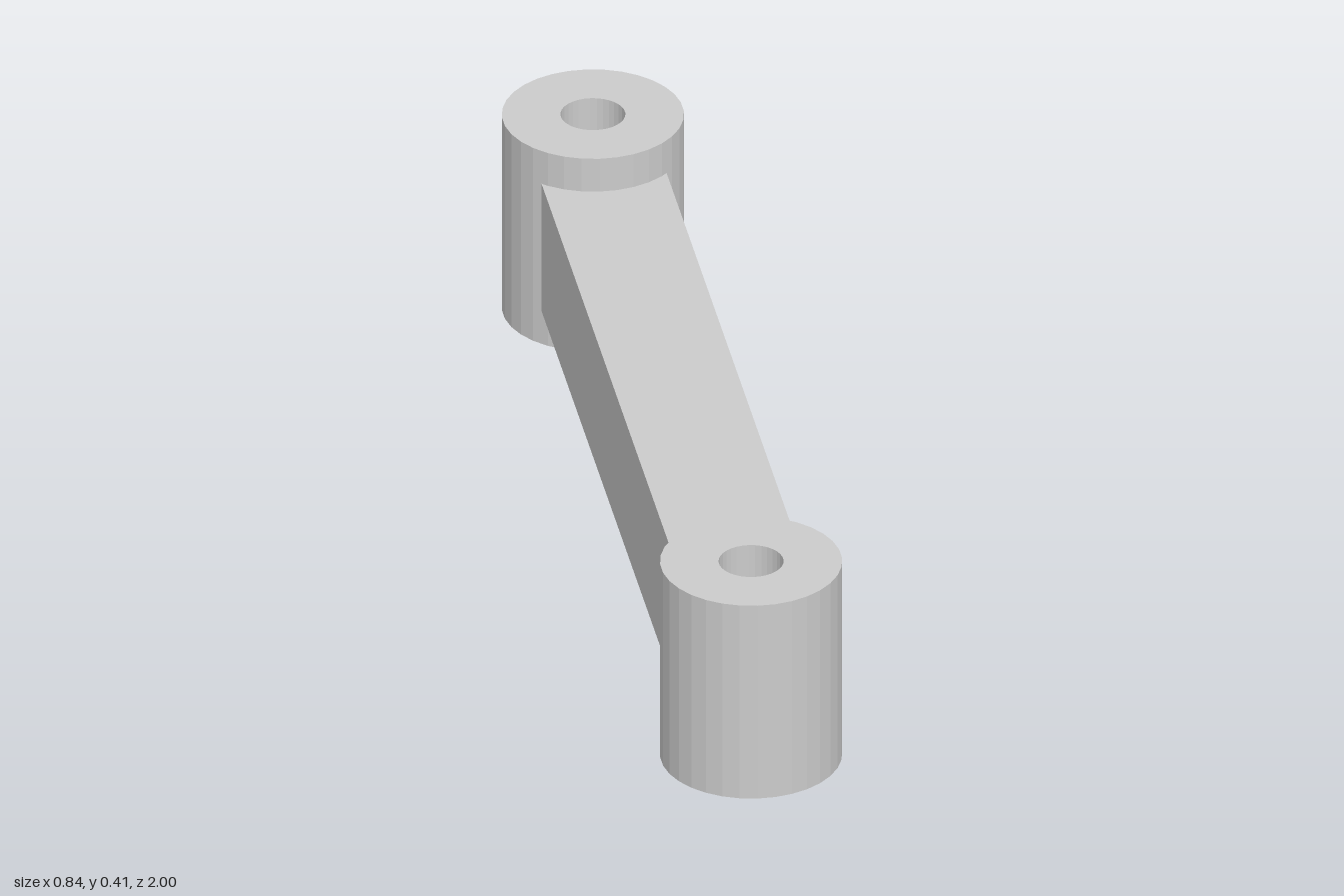
import * as THREE from 'three';

export function createModel() {
  const model = new THREE.Group();
  const material = new THREE.MeshStandardMaterial({ color: 0xcccccc, flatShading: true });

  const height = 0.415, outer = 0.171, bore = 0.061;
  const bossX = 0.249, bossZ = 0.829;

  // Hollow bosses: a closed ring profile turned around the pivot axis
  const profile = [[bore, 0], [outer, 0], [outer, height], [bore, height], [bore, 0]]
    .map(([x, y]) => new THREE.Vector2(x, y));
  const bossGeometry = new THREE.LatheGeometry(profile, 32);
  for (const [name, side] of [['frontBoss', 1], ['backBoss', -1]]) {
    const boss = new THREE.Mesh(bossGeometry, material);
    boss.name = name;
    boss.position.set(-side * bossX, 0, side * bossZ);
    model.add(boss);
  }

  // Connecting bar: its ends stop inside the boss walls, clear of the bores
  const length = 2 * (Math.hypot(bossX, bossZ) - 0.1);
  const bar = new THREE.Mesh(new THREE.BoxGeometry(0.238, 0.274, length), material);
  bar.name = 'connectingBar';
  bar.position.y = height / 2;
  bar.rotation.y = Math.atan2(-bossX, bossZ);
  model.add(bar);

  return model;
}
